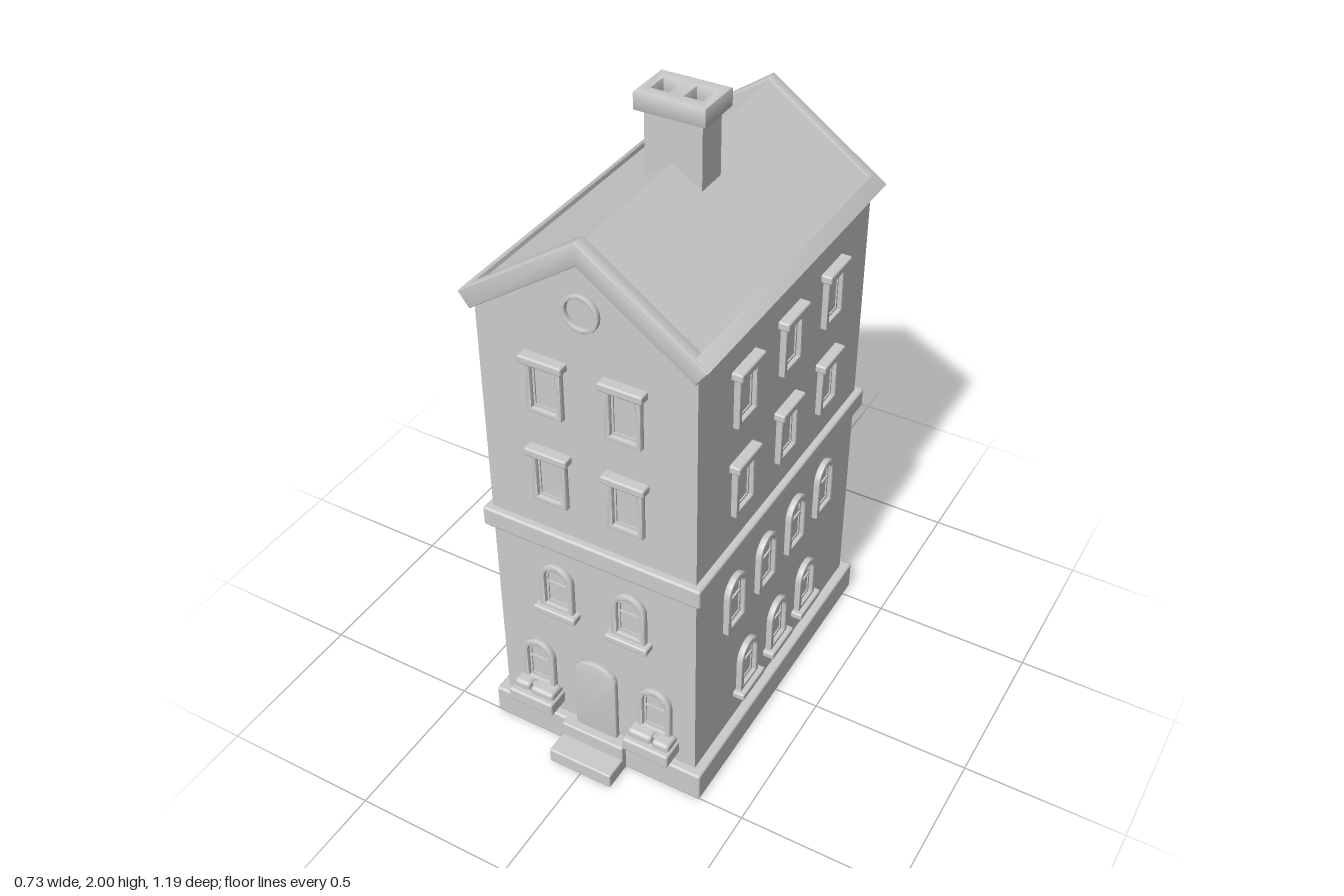
import * as THREE from 'three';
import { toCreasedNormals } from 'three/addons/utils/BufferGeometryUtils.js';
import { RoundedBoxGeometry } from 'three/addons/geometries/RoundedBoxGeometry.js';

const grey = new THREE.MeshStandardMaterial({ color: 0xcccccc });
const flueBrown = new THREE.MeshStandardMaterial({ color: 0x9a744a });
const CZ = -0.02; // centre of the walls along z

function add(parent, name, geometry, x = 0, y = 0, z = 0, material = grey) {
  const mesh = new THREE.Mesh(geometry, material);
  mesh.name = name;
  mesh.position.set(x, y, z);
  parent.add(mesh);
  return mesh;
}

// Rounded box given by its min and max corners
function block(parent, name, [x0, y0, z0], [x1, y1, z1], r = 0.006) {
  const geo = new RoundedBoxGeometry(x1 - x0, y1 - y0, z1 - z0, 2, r);
  return add(parent, name, geo, (x0 + x1) / 2, (y0 + y1) / 2, (z0 + z1) / 2);
}

// Extrusion from z = 0 to depth, with a soft edge kept inside the outline
function extrude(shape, depth, bevel = 0) {
  const geo = new THREE.ExtrudeGeometry(shape, {
    depth: depth - 2 * bevel, curveSegments: 12, bevelEnabled: bevel > 0,
    bevelThickness: bevel, bevelSize: bevel, bevelOffset: -bevel, bevelSegments: 2,
  });
  geo.translate(0, 0, bevel);
  return toCreasedNormals(geo, 0.6);
}

function polygon(points) {
  return new THREE.Shape(points.map(([x, y]) => new THREE.Vector2(x, y)));
}

function rect(x0, y0, x1, y1) {
  return polygon([[x0, y0], [x1, y0], [x1, y1], [x0, y1]]);
}

// Round-headed outline: half width w, from y0 up to the crown y1, arch rise
function arch(w, y0, y1, rise = w) {
  const s = new THREE.Shape();
  s.moveTo(-w, y0);
  s.lineTo(w, y0);
  s.lineTo(w, y1 - rise);
  s.absellipse(0, y1 - rise, w, rise, 0, Math.PI, false);
  s.closePath();
  return s;
}

function framed(outer, inner) {
  outer.holes.push(inner);
  return outer;
}

function part(wall, name, x, y) {
  const g = new THREE.Group();
  g.name = name;
  g.position.set(x, y, 0);
  wall.add(g);
  return g;
}

function squareWindow(wall, x, y) {
  const g = part(wall, 'squareWindow', x, y);
  add(g, 'windowFrame', extrude(framed(rect(-0.055, 0, 0.055, 0.165), rect(-0.038, 0.016, 0.038, 0.15)), 0.02, 0.004));
  add(g, 'windowSash', extrude(framed(rect(-0.038, 0.016, 0.038, 0.15), rect(-0.032, 0.022, 0.032, 0.144)), 0.007));
  add(g, 'windowPane', new THREE.BoxGeometry(0.07, 0.13, 0.004), 0, 0.083, 0.001);
  block(g, 'windowLintel', [-0.067, 0.158, -0.01], [0.067, 0.184, 0.032]);
}

function archedWindow(wall, x, y, h, sill) {
  const g = part(wall, 'archedWindow', x, y);
  add(g, 'windowFrame', extrude(framed(arch(0.056, 0, h), arch(0.037, 0.016, h - 0.019)), 0.02, 0.004));
  add(g, 'windowSash', extrude(framed(arch(0.037, 0.016, h - 0.019), arch(0.03, 0.024, h - 0.026)), 0.007));
  add(g, 'windowPane', extrude(arch(0.037, 0.016, h - 0.019), 0.003));
  add(g, 'windowBar', new THREE.BoxGeometry(0.072, 0.008, 0.01), 0, h * 0.55, 0.004);
  if (sill) block(g, 'windowSill', [-0.07, -0.018, -0.01], [0.07, 0.006, 0.036]);
}

function planter(wall, x) {
  const g = part(wall, 'planter', x, 0);
  block(g, 'planterBox', [-0.077, 0.14, -0.01], [0.077, 0.188, 0.074], 0.008);
  const split = x > 0 ? 0.012 : -0.012;
  block(g, 'planting', [-0.07, 0.175, 0], [split - 0.002, 0.215, 0.055], 0.012);
  block(g, 'planting', [split + 0.002, 0.175, 0], [0.07, 0.213, 0.058], 0.012);
}

function roundWindow(wall) {
  const g = part(wall, 'roundWindow', 0, 1.615);
  const ring = new THREE.Shape().absarc(0, 0, 0.056, 0, Math.PI * 2);
  ring.holes.push(new THREE.Path().absarc(0, 0, 0.043, 0, Math.PI * 2));
  add(g, 'roundFrame', extrude(ring, 0.016, 0.003));
  add(g, 'roundPane', new THREE.CircleGeometry(0.045, 32), 0, 0, 0.003);
}

function door(wall) {
  const g = part(wall, 'door', 0, 0.09);
  add(g, 'doorFrame', extrude(framed(arch(0.071, 0, 0.29, 0.05), arch(0.056, 0.005, 0.274, 0.04)), 0.02, 0.004));
  add(g, 'doorLeaf', extrude(arch(0.057, 0, 0.275, 0.04), 0.004));
  for (const x of [-0.05, 0, 0.05]) add(g, 'doorStile', new THREE.BoxGeometry(0.01, 0.235, 0.008), x, 0.125, 0.005);
  for (let i = 0; i < 5; i++) add(g, 'doorRail', new THREE.BoxGeometry(0.108, 0.009, 0.008), 0, 0.018 + i * 0.054, 0.005);
}

function makeWall(house, name, x, z, turn) {
  const wall = new THREE.Group();
  wall.name = name;
  wall.position.set(x, 0, z);
  wall.rotation.y = turn;
  house.add(wall);
  return wall;
}

export function createModel() {
  const house = new THREE.Group();
  house.name = 'townhouse';

  // Plinth, steps, wall mass and belt course
  block(house, 'plinth', [-0.36, 0, -0.55], [0.36, 0.102, 0.507], 0.008);
  block(house, 'lowerStep', [-0.107, 0, 0.45], [0.107, 0.052, 0.6]);
  block(house, 'upperStep', [-0.107, 0.03, 0.45], [0.107, 0.102, 0.528]);
  const body = polygon([[-0.33, 0.09], [0.33, 0.09], [0.33, 1.54], [0, 1.775], [-0.33, 1.54]]);
  add(house, 'walls', extrude(body, 1), 0, 0, CZ - 0.5);
  block(house, 'beltCourse', [-0.352, 0.78, -0.543], [0.352, 0.845, 0.503], 0.008);

  // Gable walls, front and back
  const front = makeWall(house, 'frontWall', 0, CZ + 0.5, 0);
  const back = makeWall(house, 'backWall', 0, CZ - 0.5, Math.PI);
  for (const wall of [front, back]) {
    roundWindow(wall);
    for (const x of [-0.12, 0.12]) {
      squareWindow(wall, x, 0.95);
      squareWindow(wall, x, 1.255);
      archedWindow(wall, x, 0.545, 0.17, true);
    }
    for (const x of [-0.2, 0.2]) {
      archedWindow(wall, x, 0.2, 0.175, true);
      planter(wall, x);
    }
  }
  door(front);
  archedWindow(back, 0, 0.2, 0.175, true);

  // Long side walls
  for (const s of [1, -1]) {
    const wall = makeWall(house, s > 0 ? 'leftWall' : 'rightWall', s * 0.33, CZ, s * Math.PI / 2);
    for (const x of [-0.26, 0, 0.26]) {
      squareWindow(wall, x, 0.95);
      squareWindow(wall, x, 1.255);
    }
    for (const x of [-0.288, -0.096, 0.096, 0.288]) archedWindow(wall, x, 0.525, 0.19, false);
    for (const x of [-0.195, 0, 0.195]) archedWindow(wall, x, 0.2, 0.175, true);
  }

  // Roof panel, set slightly below the raised border
  const roof = new THREE.Group();
  roof.name = 'roof';
  house.add(roof);
  const slab = polygon([[0, 1.812], [-0.345, 1.571], [-0.33, 1.53], [0, 1.76], [0.33, 1.53], [0.345, 1.571]]);
  add(roof, 'roofPanels', extrude(slab, 1.0), 0, 0, CZ - 0.5);

  // Bargeboards on both gables and eaves along both sides
  const board = polygon([[0, 1.826], [-0.366, 1.57], [-0.333, 1.525], [0, 1.757], [0.333, 1.525], [0.366, 1.57]]);
  for (const z of [-0.546, 0.46]) add(roof, 'bargeboard', extrude(board, 0.042, 0.005), 0, 0, z);
  for (const s of [-1, 1]) {
    const eave = polygon([[0.328, 1.597], [0.366, 1.57], [0.333, 1.525], [0.318, 1.535]].map(([x, y]) => [s * x, y]));
    add(roof, 'eave', extrude(eave, 1.03, 0.004), 0, 0, CZ - 0.515);
  }

  // Chimney with two open flues
  const chimney = new THREE.Group();
  chimney.name = 'chimney';
  chimney.position.z = -0.022;
  house.add(chimney);
  add(chimney, 'chimneyStack', new THREE.BoxGeometry(0.172, 0.26, 0.1), 0, 1.82, 0);
  const cap = rect(-0.105, -0.072, 0.105, 0.072);
  for (const x of [-0.049, 0.049]) {
    cap.holes.push(rect(x - 0.026, -0.031, x + 0.026, 0.031));
    add(chimney, 'flue', new THREE.BoxGeometry(0.058, 0.008, 0.068), x, 1.953, 0, flueBrown);
  }
  const capGeo = extrude(cap, 0.055, 0.005);
  capGeo.rotateX(-Math.PI / 2);
  add(chimney, 'chimneyCap', capGeo, 0, 1.945, 0);

  return house;
}
